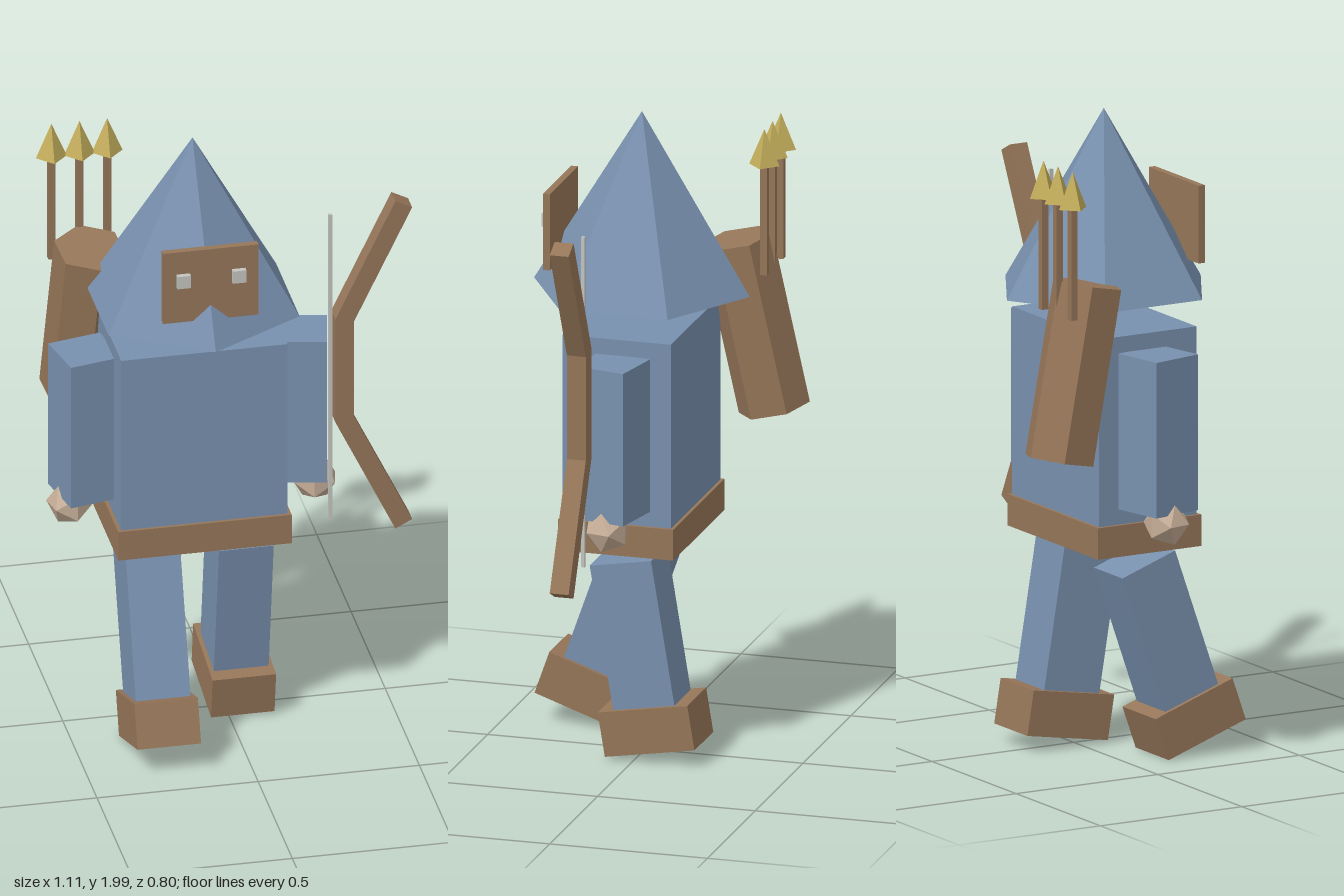
import * as THREE from 'three';

const CX = -0.107; // the figure's own centre line
const CZ = 0.045;

function material(name, color) {
  const m = new THREE.MeshStandardMaterial({ color });
  m.name = name;
  m.flatShading = true;
  return m;
}

export function createModel() {
  const model = new THREE.Group();
  const cloth = material('blue cloth', 0x7890ae);
  const leather = material('brown leather', 0x967659);
  const skin = material('skin', 0xc6ae98);
  const gold = material('gold', 0xc4ae5c);
  const pale = material('pale grey', 0xc4c4c0);

  function add(name, geometry, mat, x, y, z, parent = model) {
    const mesh = new THREE.Mesh(geometry, mat);
    mesh.name = name;
    mesh.position.set(x, y, z);
    parent.add(mesh);
    return mesh;
  }
  const box = (w, h, d) => new THREE.BoxGeometry(w, h, d);

  // flat outline extruded along z, centred on z = 0
  function slab(points, depth) {
    const shape = new THREE.Shape(points.map(([x, y]) => new THREE.Vector2(x, y)));
    const g = new THREE.ExtrudeGeometry(shape, { depth, bevelEnabled: false });
    return g.translate(0, 0, -depth / 2);
  }

  // torso, belt and hat
  add('torso', box(0.516, 0.585, 0.345), cloth, CX, 1.0575, CZ);
  add('belt', box(0.538, 0.098, 0.365), leather, CX, 0.716, CZ);
  add('hat', new THREE.ConeGeometry(0.342, 0.56, 6), cloth, CX, 1.72, 0.043);

  // mask with a notched lower edge, and eyes
  const mask = [[-0.148, 1.515], [-0.055, 1.515], [0, 1.565], [0.055, 1.515],
    [0.148, 1.515], [0.148, 1.757], [-0.148, 1.757]];
  add('mask', slab(mask, 0.022), leather, CX, 0, 0.301);

  for (const side of [-1, 1]) {
    add('eye', box(0.042, 0.042, 0.018), pale, CX + side * 0.086, 1.66, 0.32);

    // arm, turned slightly, with a faceted hand
    const arm = add('arm', box(0.171, 0.485, 0.171), cloth, CX + side * 0.331, 1.0575, 0.038);
    arm.rotation.y = side * -0.21 * -1 * -1;
    const hand = add('hand', new THREE.IcosahedronGeometry(0.072, 0), skin, CX + side * 0.38, 0.783, 0.038);
    hand.rotation.y = side * -0.21;

    // striding leg with its boot
    const leg = new THREE.Group();
    leg.name = side < 0 ? 'rightLeg' : 'leftLeg';
    leg.position.set(CX + side * 0.147, 0.404, side < 0 ? 0.14 : 0.004);
    leg.rotation.x = side < 0 ? -0.337 : 0.162;
    add('legCloth', box(0.17, 0.46, 0.197), cloth, 0, 0, 0, leg);
    add('boot', box(0.197, 0.141, 0.288), leather, 0, -0.3, 0, leg);
    model.add(leg);
  }

  // bow: one outline mirrored about its grip, plus string
  const upper = [[0.375, 1.36], [0.555, 1.733], [0.503, 1.76], [0.317, 1.373]];
  const middle = 1.195;
  const lower = upper.map(([x, y]) => [x, 2 * middle - y]).reverse();
  add('bow', slab([...upper, ...lower], 0.06), leather, 0, 0, 0.105);
  add('bowString', box(0.011, 1.05, 0.011), pale, 0.308, middle, 0.103);

  // quiver leaning from its base to its mouth
  const base = new THREE.Vector3(-0.4, 1.0, -0.288);
  const mouth = new THREE.Vector3(-0.378, 1.533, -0.176);
  const axis = mouth.clone().sub(base);
  const quiverGeo = new THREE.CylinderGeometry(0.112, 0.112, axis.length(), 6).rotateY(0.12);
  const centre = base.clone().lerp(mouth, 0.5);
  const quiver = add('quiver', quiverGeo, leather, centre.x, centre.y, centre.z);
  quiver.quaternion.setFromUnitVectors(new THREE.Vector3(0, 1, 0), axis.normalize());

  // arrows
  for (const x of [-0.475, -0.388, -0.302]) {
    add('arrowShaft', box(0.022, 0.35, 0.022), leather, x, 1.627, -0.286);
    add('arrowHead', new THREE.ConeGeometry(0.048, 0.114, 4), gold, x, 1.857, -0.286);
  }
  return model;
}
